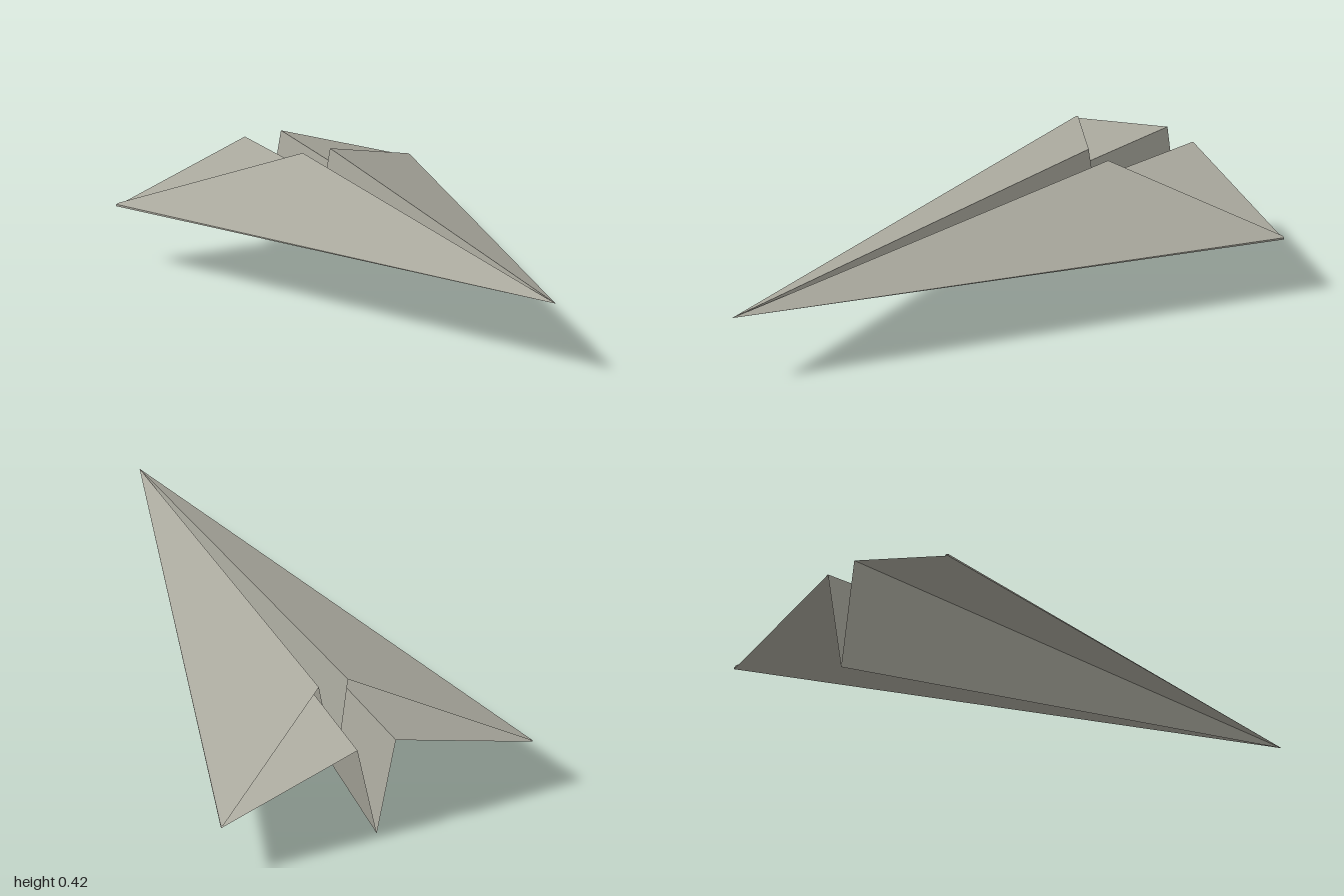
import * as THREE from 'three';

const paper = new THREE.MeshStandardMaterial({ color: 0xa8a79c, side: THREE.DoubleSide });
paper.name = 'grey paper';

// Fold points of the left half, mirrored for the right half
const nose = [0, 0.262, 1];
const keelBack = [0, 0, -1];
const wingRoot = [0.075, 0.39, -1];
const wingTip = [0.61, 0.214, -1];
const flapTip = [0.61, 0.221, -1];
const flapTipInner = [0.6, 0.225, -1];
const flapPeak = [0.057, 0.418, -0.635];
const flapBottom = [0.002, 0.06, -0.655];

// Each panel is a flat sheet, its corners counter-clockwise from above
const panels = {
  KeelPanel: [nose, wingRoot, keelBack],
  Wing: [nose, wingTip, wingRoot],
  LeadingEdge: [nose, wingTip, flapTip],
  UpperFlap: [nose, flapTip, flapTipInner, flapPeak],
  InnerFlap: [nose, flapPeak, flapBottom],
};

// Flat polygon as a triangle fan; side = -1 mirrors it across x
function sheet(name, corners, side) {
  const pts = corners.map(([x, y, z]) => [x * side, y, z]);
  if (side < 0) pts.reverse();
  const positions = [];
  for (let i = 1; i < pts.length - 1; i++) {
    positions.push(...pts[0], ...pts[i], ...pts[i + 1]);
  }
  const geometry = new THREE.BufferGeometry();
  geometry.setAttribute('position', new THREE.Float32BufferAttribute(positions, 3));
  geometry.computeVertexNormals();
  const mesh = new THREE.Mesh(geometry, paper);
  mesh.name = name;
  return mesh;
}

export function createModel() {
  const plane = new THREE.Group();
  plane.name = 'paperPlane';
  for (const [label, side] of [['left', 1], ['right', -1]]) {
    const half = new THREE.Group();
    half.name = label + 'Half';
    for (const [name, corners] of Object.entries(panels)) {
      half.add(sheet(label + name, corners, side));
    }
    plane.add(half);
  }
  return plane;
}
